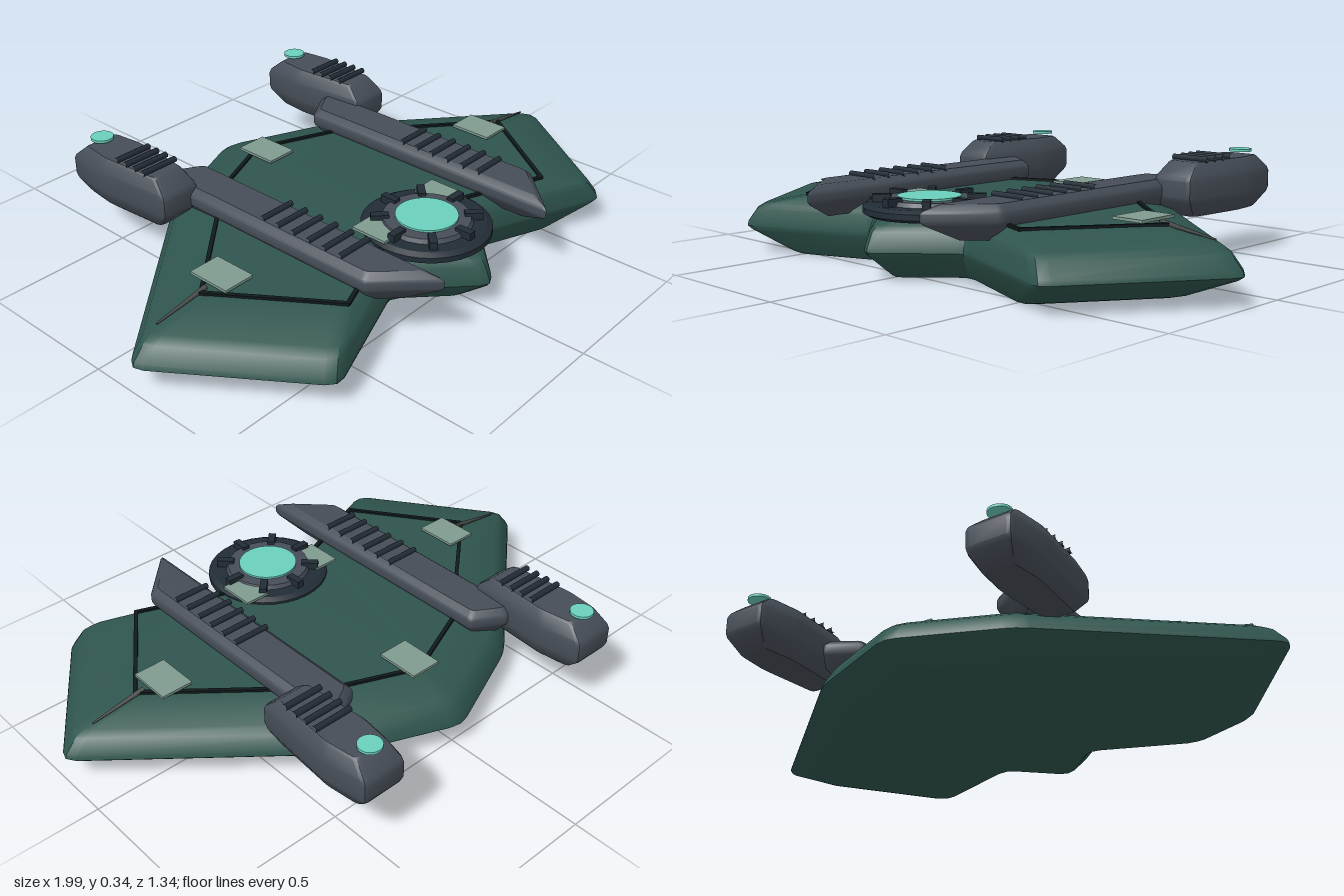
import * as THREE from 'three';
import { toCreasedNormals } from 'three/addons/utils/BufferGeometryUtils.js';

const mat = (name, color) => new THREE.MeshStandardMaterial({ name, color });

// Move every edge of a plan polygon (anticlockwise from above, [x, z]) inwards by d
function inset(points, d) {
  const n = points.length;
  const normal = (a, b) => {
    const l = Math.hypot(b[0] - a[0], b[1] - a[1]);
    return [(b[1] - a[1]) / l, -(b[0] - a[0]) / l];
  };
  return points.map((p, i) => {
    const u = normal(points[(i + n - 1) % n], p);
    const v = normal(p, points[(i + 1) % n]);
    const k = d / (1 + u[0] * v[0] + u[1] * v[1]);
    return [p[0] + k * (u[0] + v[0]), p[1] + k * (u[1] + v[1])];
  });
}

// Scale a plan polygon about a centre
const scaled = (points, sx, sz, cx, cz) =>
  points.map(([x, z]) => [cx + (x - cx) * sx, cz + (z - cz) * sz]);

// Soften each corner of a plan polygon with a short curve
function rounded(points, r) {
  const n = points.length;
  return points.flatMap((p, i) => {
    const toward = (q) => {
      const t = Math.min(r / Math.hypot(q[0] - p[0], q[1] - p[1]), 0.4);
      return [p[0] + (q[0] - p[0]) * t, p[1] + (q[1] - p[1]) * t];
    };
    const a = toward(points[(i + n - 1) % n]);
    const b = toward(points[(i + 1) % n]);
    return [a, [(a[0] + b[0] + 2 * p[0]) / 4, (a[1] + b[1] + 2 * p[1]) / 4], b];
  });
}

// Closed solid through plan outlines stacked upwards: layers = [[y, outline], ...]
function loft(layers) {
  const pos = [];
  const n = layers[0][1].length;
  const put = (k, j) => pos.push(layers[k][1][j % n][0], layers[k][0], layers[k][1][j % n][1]);
  for (let k = 0; k < layers.length - 1; k++) {
    for (let j = 0; j < n; j++) {
      put(k, j); put(k, j + 1); put(k + 1, j + 1);
      put(k, j); put(k + 1, j + 1); put(k + 1, j);
    }
  }
  for (const k of [0, layers.length - 1]) {
    const flat = layers[k][1].map(([x, z]) => new THREE.Vector2(x, -z));
    for (const [a, b, c] of THREE.ShapeUtils.triangulateShape(flat, [])) {
      (k ? [a, b, c] : [c, b, a]).forEach((j) => put(k, j));
    }
  }
  const g = new THREE.BufferGeometry();
  g.setAttribute('position', new THREE.Float32BufferAttribute(pos, 3));
  return toCreasedNormals(g, 0.5);
}

export function createModel() {
  const model = new THREE.Group();
  model.name = 'hoverCraft';
  const green = mat('hullGreen', 0x2f554e);
  const grey = mat('gunmetal', 0x464d57);
  const dark = mat('darkSteel', 0x222c36);
  const line = mat('seamBlack', 0x10191b);
  const pale = mat('paleGreen', 0x7f9b90);
  const glow = mat('turquoise', 0x6bd0bc);
  const brown = mat('antennaGrey', 0x474a4a);

  const add = (name, geometry, material, x = 0, y = 0, z = 0, parent = model) => {
    const m = new THREE.Mesh(geometry, material);
    m.name = name;
    m.position.set(x, y, z);
    parent.add(m);
    return m;
  };

  // Hull: winged plan tapering to the keel and to a flat deck
  const half = [[0.22, 0.46], [0.675, 0.64], [1.01, 0.16], [0.37, -0.385]];
  const plan = [[0, 0.67], ...half, [0, -0.54], ...half.map(([x, z]) => [-x, z]).reverse()];
  const hullRing = (s) => rounded(scaled(plan, s, s, 0, 0.16), 0.04);
  add('hull', loft([
    [0, hullRing(0.78)], [0.008, hullRing(0.81)], [0.077, hullRing(0.98)], [0.09, hullRing(1)],
    [0.105, hullRing(0.995)], [0.15, hullRing(0.955)], [0.167, hullRing(0.92)], [0.2, hullRing(0.73)],
  ]), green);

  // Dark seam around the deck
  const seam = scaled(plan, 0.725, 0.725, 0, 0.16);
  seam.forEach(([x, z], i) => {
    const [x2, z2] = seam[(i + 1) % seam.length];
    const strip = add('deckSeam', new THREE.BoxGeometry(Math.hypot(x2 - x, z2 - z) + 0.008, 0.009, 0.013),
      line, (x + x2) / 2, 0.203, (z + z2) / 2);
    strip.rotation.y = -Math.atan2(z2 - z, x2 - x);
  });

  // Round turret base, grey ring, glowing core and radial clamps
  const turret = new THREE.Group();
  turret.name = 'turret';
  turret.position.set(0, 0, 0.405);
  model.add(turret);
  const baseProfile = [[0, 0.18], [0.19, 0.18], [0.208, 0.19], [0.208, 0.208], [0.19, 0.218], [0, 0.218]]
    .map(([r, y]) => new THREE.Vector2(r, y));
  add('turretBase', toCreasedNormals(new THREE.LatheGeometry(baseProfile, 32), 0.5), dark, 0, 0, 0, turret);
  add('turretRing', new THREE.CylinderGeometry(0.14, 0.155, 0.03, 24), grey, 0, 0.217, 0, turret);
  add('turretCore', new THREE.CylinderGeometry(0.1, 0.1, 0.009, 32), glow, 0, 0.234, 0, turret);
  for (let i = 0; i < 8; i++) {
    const a = (i * Math.PI) / 4;
    const clamp = add('turretClamp', new THREE.BoxGeometry(0.058, 0.03, 0.025), dark,
      Math.cos(a) * 0.148, 0.228, Math.sin(a) * 0.148, turret);
    clamp.rotation.y = -a;
  }

  // Pale deck plates
  const plate = (x, y, z, w = 0.11, d = 0.15) =>
    add('deckPlate', new THREE.BoxGeometry(w, 0.009, d), pale, x, y, z);
  plate(0, 0.212, -0.3);

  const podPlan = [[-0.072, -0.22], [0.072, -0.22], [0.097, -0.52], [0.078, -0.67], [-0.078, -0.67], [-0.097, -0.52]]
    .reverse().map(([x, z]) => [-x, z]).reverse();
  const beamPlan = [[0.26, 0.68], [0.425, 0.51], [0.425, -0.37], [0.37, -0.385], [0.26, -0.32]];

  // Plan order must stay anticlockwise from above
  const ordered = (pts) =>
    THREE.ShapeUtils.area(pts.map(([x, z]) => new THREE.Vector2(x, -z))) < 0 ? [...pts].reverse() : pts;

  const rib = (name, x, y, z, length) => {
    const r = add(name, new THREE.CylinderGeometry(0.01, 0.01, length, 8, 1, true), dark, x, y, z);
    r.rotation.z = Math.PI / 2;
  };

  for (const s of [1, -1]) {
    // Long beam with a raked nose
    const beam = ordered(beamPlan.map(([x, z]) => [x * s, z]));
    const beamRing = (d) => rounded(inset(beam, d), 0.012);
    add('beam', loft([
      [0.155, beamRing(0.045)], [0.205, beamRing(0.004)], [0.215, beamRing(0)],
      [0.238, beamRing(0)], [0.247, beamRing(0.004)], [0.264, beamRing(0.024)],
    ]), grey);
    for (let i = 0; i < 6; i++) rib('beamRib', s * 0.337, 0.268, 0.08 + 0.063 * i, 0.13);

    // Rear pod with chamfered ends
    const pod = ordered(podPlan.map(([x, z]) => [x + s * 0.463, z]));
    const podRing = (sx, sz) => rounded(scaled(pod, sx, sz, s * 0.463, -0.445), 0.015);
    add('pod', loft([
      [0.146, podRing(0.66, 0.75)], [0.152, podRing(0.72, 0.79)], [0.195, podRing(0.97, 0.97)],
      [0.21, podRing(1, 1)], [0.265, podRing(1, 1)], [0.28, podRing(0.97, 0.97)],
      [0.317, podRing(0.8, 0.78)], [0.323, podRing(0.74, 0.74)],
    ]), grey);
    for (let i = 0; i < 4; i++) rib('podRib', s * 0.463, 0.329, -0.45 + 0.043 * i, 0.138);
    add('podLight', new THREE.CylinderGeometry(0.038, 0.038, 0.009, 24), glow, s * 0.463, 0.335, -0.605);

    // Wing plate, turret plate and wingtip antenna
    plate(s * 0.636, 0.212, 0.145);
    plate(s * 0.155, 0.222, 0.335, 0.09, 0.13);
    const antenna = add('antenna', new THREE.CylinderGeometry(0.003, 0.009, 0.19, 6), brown, s * 0.8, 0.193, 0.152);
    antenna.rotation.z = -s * (Math.PI / 2 + 0.15);
  }
  return model;
}
